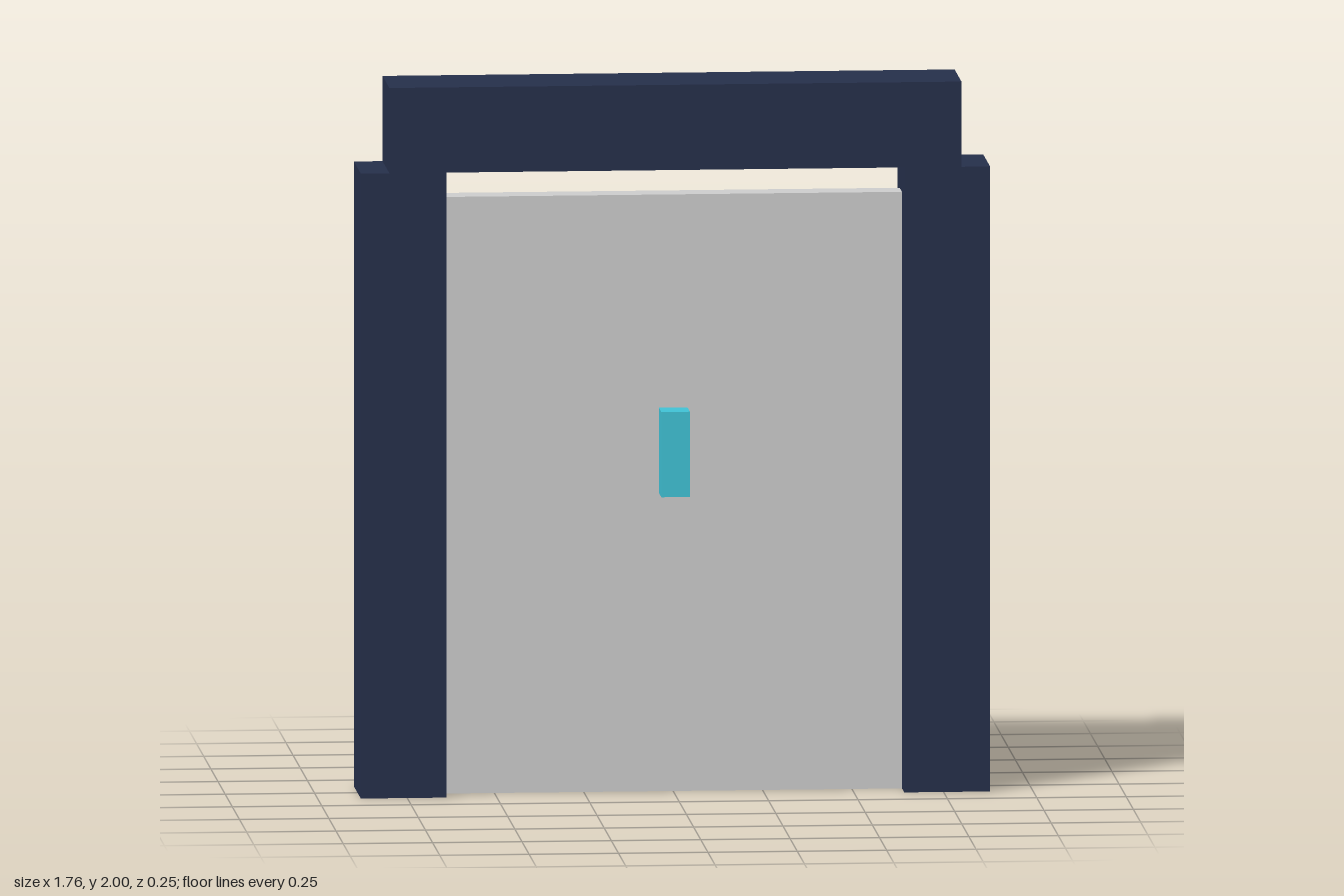
import * as THREE from 'three';

export function createModel() {
  const model = new THREE.Group();
  const frameMat = new THREE.MeshStandardMaterial({ color: 0x252f4a });
  const panelMat = new THREE.MeshStandardMaterial({ color: 0xcccccc });
  const handleMat = new THREE.MeshStandardMaterial({ color: 0x3fc1d4 });
  const zMid = -0.004; // centre plane of the frame

  // Box placed by the centre of its base
  function addBox(name, material, [w, h, d], [x, y, z]) {
    const mesh = new THREE.Mesh(new THREE.BoxGeometry(w, h, d), material);
    mesh.name = name;
    mesh.position.set(x, y + h / 2, z);
    model.add(mesh);
  }

  // Door frame: two posts and a lintel
  for (const [name, side] of [['leftPost', 1], ['rightPost', -1]]) {
    addBox(name, frameMat, [0.24, 1.76, 0.24], [side * 0.76, 0, zMid]);
  }
  addBox('lintel', frameMat, [1.6, 0.24, 0.24], [0, 1.76, zMid]);

  // Door panel, set midway in the frame
  addBox('doorPanel', panelMat, [1.28, 1.68, 0.08], [0, 0, zMid]);

  // Handle on the front of the panel
  addBox('handle', handleMat, [0.08, 0.24, 0.096], [0, 0.84, 0.076]);

  return model;
}
